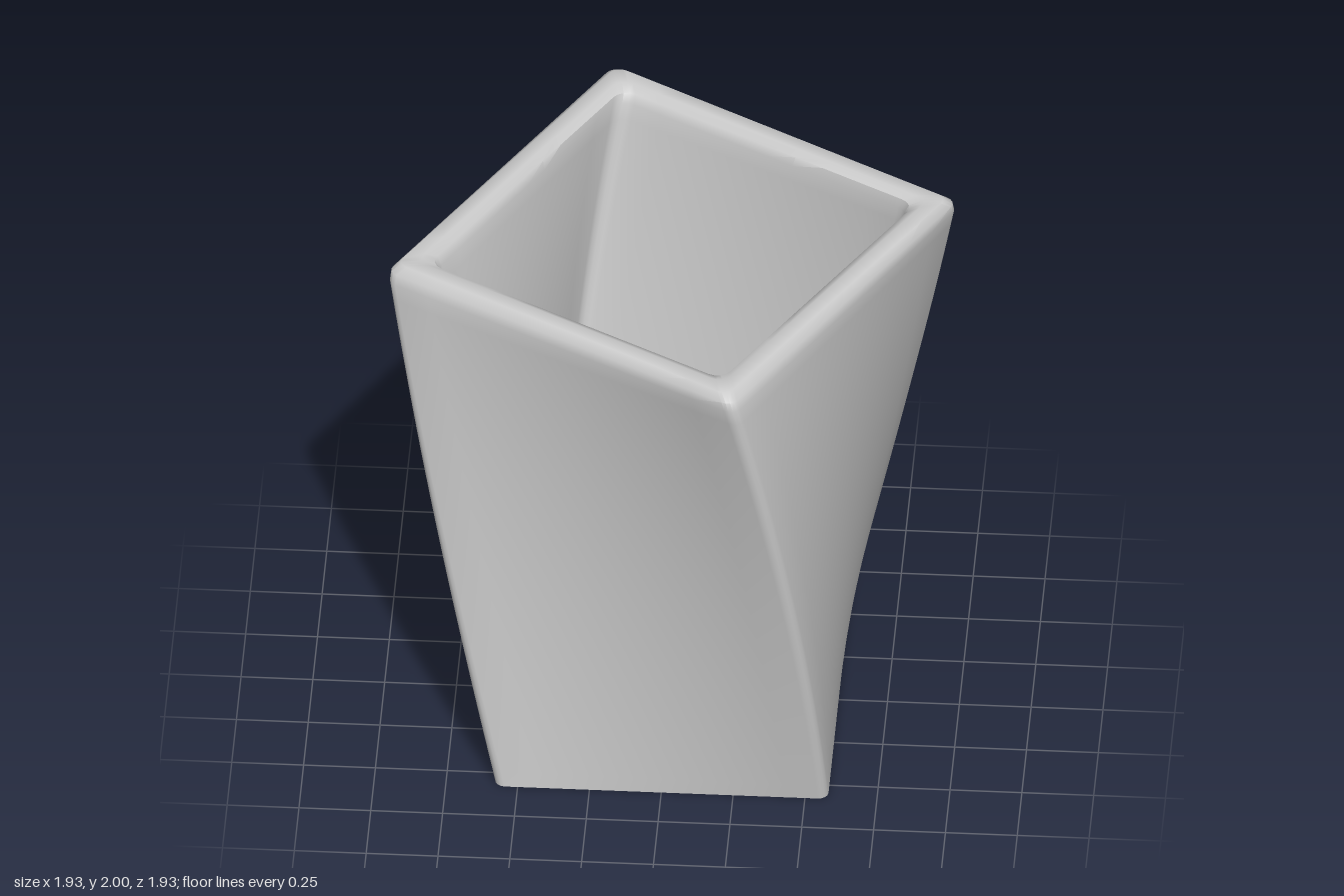
import * as THREE from 'three';
import { mergeVertices, toCreasedNormals } from 'three/addons/utils/BufferGeometryUtils.js';

const TWIST = Math.PI / 6; // total turn from base to rim
const HEIGHT = 2;
const SIDE_STEPS = 10;
const CORNER_STEPS = 4;

// Rounded square of half width h and corner radius r, turned according to its height
function ring(h, r, y) {
  const turn = TWIST * y / HEIGHT, c = h - r, points = [];
  for (let k = 0; k < 4; k++) {
    const a = turn + k * Math.PI / 2, cos = Math.cos(a), sin = Math.sin(a);
    const add = (x, z) => points.push([x * cos - z * sin, y, x * sin + z * cos]);
    for (let i = 0; i < SIDE_STEPS; i++) add(h, c * (2 * i / SIDE_STEPS - 1));
    for (let i = 0; i < CORNER_STEPS; i++) {
      const b = i / CORNER_STEPS * Math.PI / 2;
      add(c + r * Math.cos(b), c + r * Math.sin(b));
    }
  }
  return points;
}

// Skin a list of [half width, height, corner radius] sections
function loft(sections) {
  const rings = sections.map(([h, y, r]) => ring(h, r, y));
  const n = rings[0].length, index = [];
  for (let i = 0; i < rings.length - 1; i++) {
    for (let j = 0; j < n; j++) {
      const a = i * n + j, d = i * n + (j + 1) % n;
      if (sections[i][0] > 0) index.push(a, a + n, d);
      if (sections[i + 1][0] > 0) index.push(d, a + n, d + n);
    }
  }
  const geometry = new THREE.BufferGeometry();
  geometry.setAttribute('position', new THREE.Float32BufferAttribute(rings.flat(2), 3));
  geometry.setIndex(index);
  return toCreasedNormals(mergeVertices(geometry), 0.85);
}

// Evenly spaced sections between two given ones
function wall(from, to, steps) {
  return Array.from({ length: steps + 1 }, (_, i) =>
    from.map((v, k) => v + (to[k] - v) * i / steps));
}

export function createModel() {
  const group = new THREE.Group();
  const material = new THREE.MeshStandardMaterial({ color: 0xcccccc });
  const add = (name, sections) => {
    const mesh = new THREE.Mesh(loft(sections), material);
    mesh.name = name;
    group.add(mesh);
  };

  // Twisted outer wall, soft rim, inner wall and inside floor
  add('twistedPot', [
    ...wall([0.58, 0, 0.035], [0.72, 1.94, 0.04], 32),
    [0.715, 1.975, 0.04],
    [0.69, 2, 0.04],
    [0.64, 2, 0.05],
    [0.61, 1.985, 0.055],
    ...wall([0.6, 1.95, 0.055], [0.478, 0.47, 0.04], 24),
    [0.45, 0.44, 0.04],
    [0, 0.44, 0],
  ]);

  // Flat foot ring with the hollow underneath
  add('hollowFoot', [
    [0, 0.17, 0],
    ...wall([0.48, 0.17, 0.02], [0.47, 0, 0.02], 3),
    [0.58, 0, 0.035],
  ]);

  return group;
}
